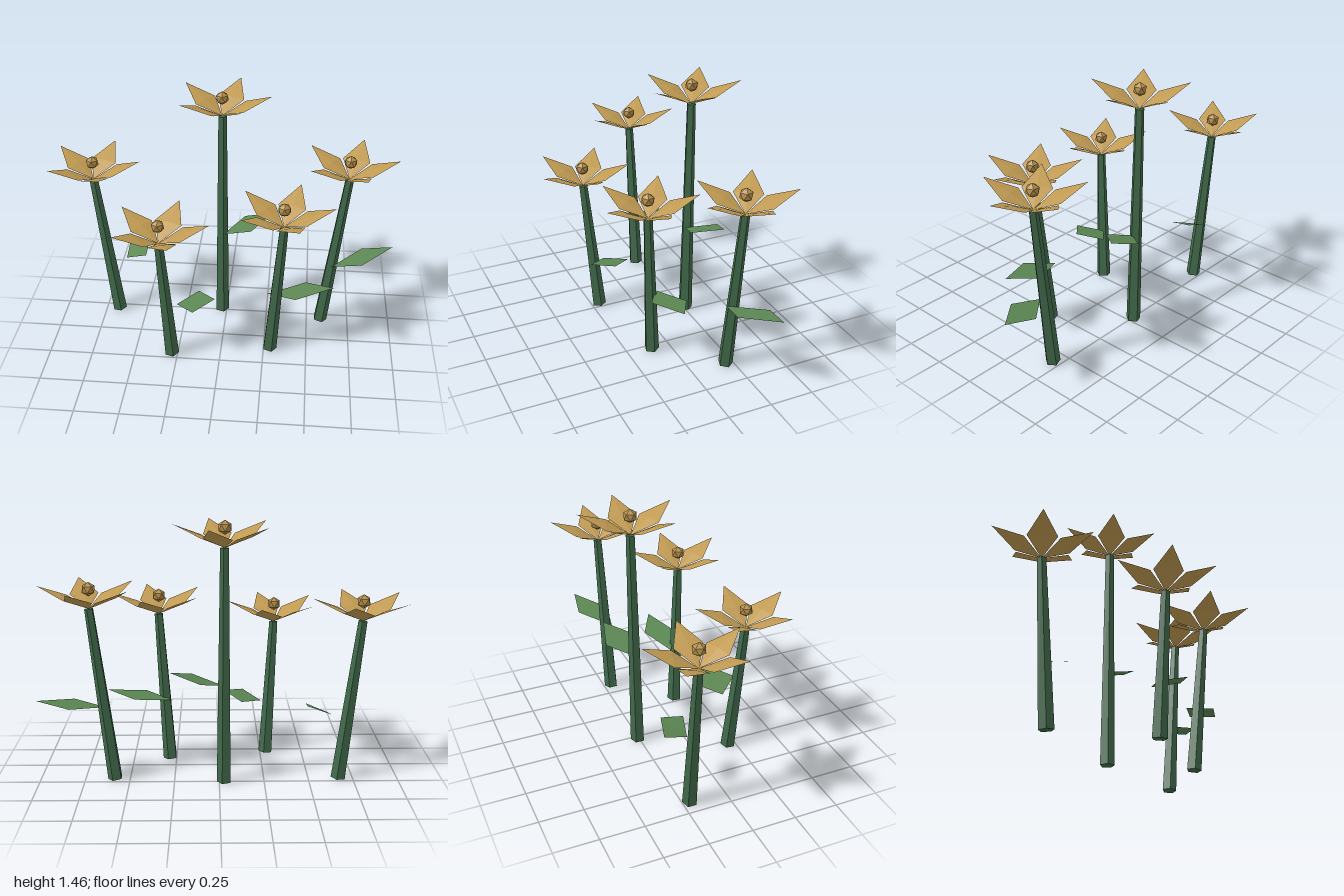
import * as THREE from 'three';

const mat = (name, color) => {
  const m = new THREE.MeshStandardMaterial({ color, flatShading: true, side: THREE.DoubleSide });
  m.name = name;
  return m;
};

// Flat-faceted surface from a few corners and triangle indices
function facets(points, index) {
  const g = new THREE.BufferGeometry();
  g.setAttribute('position', new THREE.Float32BufferAttribute(points.flat(), 3));
  g.setIndex(index);
  const flat = g.toNonIndexed();
  flat.computeVertexNormals();
  return flat;
}

export function createModel() {
  const group = new THREE.Group();
  group.name = 'flowers';
  const stemGreen = mat('stem green', 0x40694a);
  const leafGreen = mat('leaf green', 0x5c8753);
  const petalGold = mat('petal gold', 0xc09a52);
  const centreGold = mat('centre gold', 0xb48e4a);

  // Kite petal with a low ridge, pointing along +x and rising outwards
  const petalGeo = facets(
    [[0, 0, 0], [0.125, 0.06, 0.08], [0.275, 0.125, 0], [0.125, 0.06, -0.08], [0.125, 0.067, 0]],
    [0, 1, 4, 1, 2, 4, 2, 3, 4, 3, 0, 4]
  );

  // Twenty-sided flower centre with one corner straight up
  const centreGeo = new THREE.IcosahedronGeometry(0.039, 0);
  centreGeo.rotateX(-Math.atan2((1 + Math.sqrt(5)) / 2, 1));

  // base and top of each stem; leaf corners: root, back, tip, front
  const flowers = [
    { base: [-0.669, -0.21], top: [-0.775, 0.91, -0.217],
      leaf: [[-0.604, 0.386, -0.2], [-0.604, 0.418, -0.328], [-0.478, 0.455, -0.297], [-0.48, 0.43, -0.168]] },
    { base: [-0.284, 0.205], top: [-0.327, 0.797, 0.268],
      leaf: [[-0.25, 0.335, 0.18], [-0.134, 0.36, 0.072], [-0.03, 0.395, 0.195], [-0.146, 0.37, 0.3]] },
    { base: [-0.028, -0.259], top: [-0.029, 1.315, -0.272],
      leaf: [[-0.02, 0.557, -0.245], [0.1, 0.605, -0.39], [0.267, 0.66, -0.345], [0.147, 0.612, -0.2]] },
    { base: [0.285, 0.109], top: [0.344, 0.87, 0.159],
      leaf: [[0.265, 0.37, 0.08], [0.48, 0.402, -0.008], [0.64, 0.435, 0.083], [0.425, 0.403, 0.173]] },
    { base: [0.582, -0.205], top: [0.698, 0.98, -0.215],
      leaf: [[0.63, 0.412, -0.17], [0.81, 0.45, -0.328], [0.99, 0.49, -0.297], [0.805, 0.452, -0.139]] },
  ];

  for (const { base, top, leaf } of flowers) {
    const flower = new THREE.Group();
    flower.name = 'flower';
    group.add(flower);
    const add = (name, geo, material, parent = flower) => {
      const m = new THREE.Mesh(geo, material);
      m.name = name;
      parent.add(m);
      return m;
    };

    // Five-sided tapering stem leaning from base to top
    const a = new THREE.Vector3(base[0], 0.005, base[1]);
    const b = new THREE.Vector3(...top);
    const dir = b.clone().sub(a);
    const stem = add('stem',
      new THREE.CylinderGeometry(0.0255, 0.042, dir.length(), 5, 1, false, Math.PI / 2), stemGreen);
    stem.position.copy(a).add(b).multiplyScalar(0.5);
    stem.quaternion.setFromUnitVectors(new THREE.Vector3(0, 1, 0), dir.normalize());

    // Diamond leaf
    add('leaf', facets(leaf, [0, 2, 1, 0, 3, 2]), leafGreen);

    // Level flower head
    const head = new THREE.Group();
    head.name = 'flowerHead';
    head.position.copy(b);
    flower.add(head);
    for (let i = 0; i < 5; i++) {
      add('petal', petalGeo, petalGold, head).rotation.y = (i * 2 * Math.PI) / 5;
    }
    add('flowerCentre', centreGeo, centreGold, head).position.y = 0.107;
  }
  return group;
}
